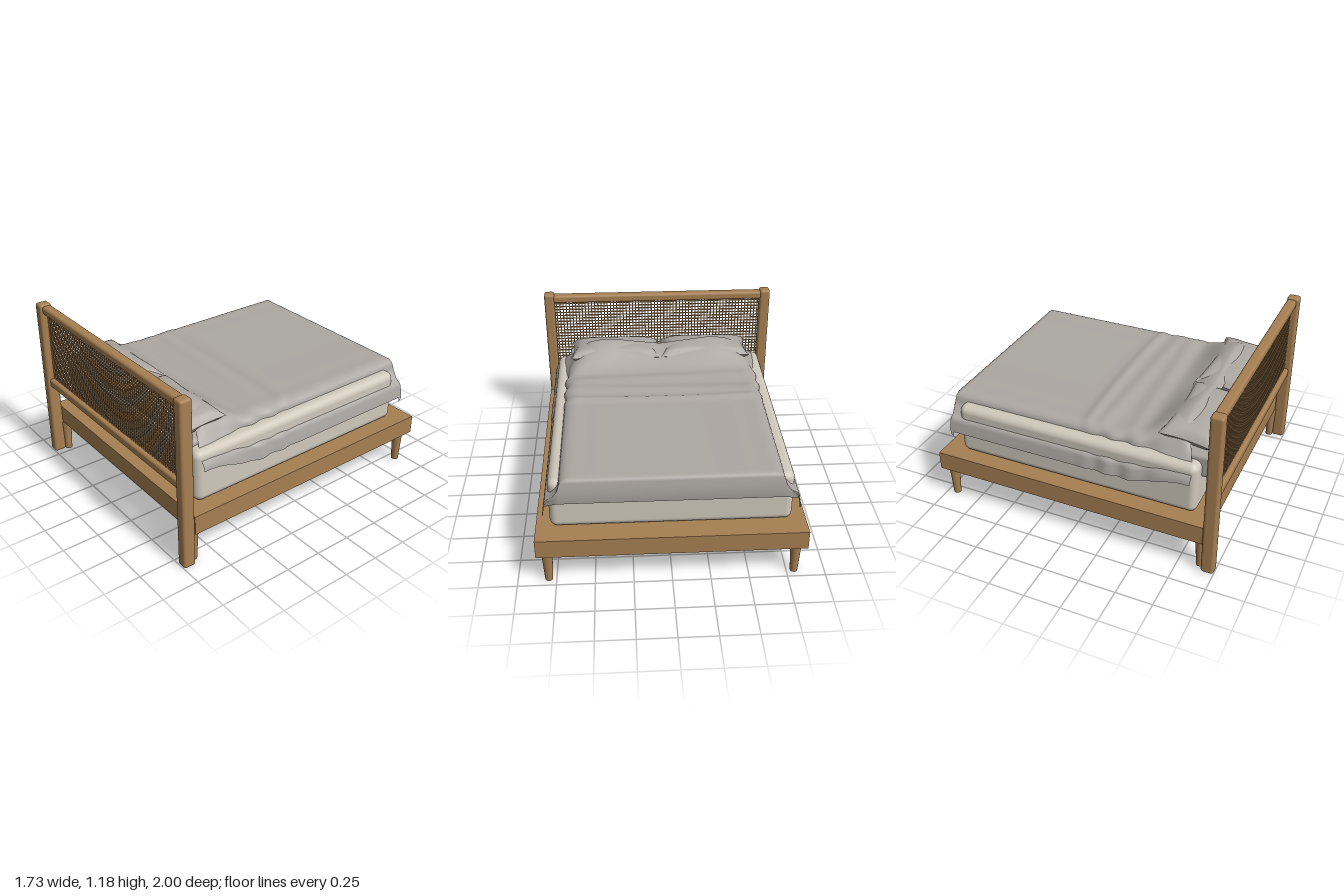
import * as THREE from 'three';
import { RoundedBoxGeometry } from 'three/addons/geometries/RoundedBoxGeometry.js';
import { mergeGeometries } from 'three/addons/utils/BufferGeometryUtils.js';

const mat = (name, color, side = THREE.FrontSide) => {
  const m = new THREE.MeshStandardMaterial({ color, side });
  m.name = name;
  return m;
};

// Smooth sheet: fn(u, v) -> [x, y, z], u and v in 0..1
function sheet(nu, nv, fn) {
  const g = new THREE.PlaneGeometry(1, 1, nu, nv);
  const p = g.attributes.position;
  for (let i = 0; i < p.count; i++) p.setXYZ(i, ...fn(p.getX(i) + 0.5, 0.5 - p.getY(i)));
  g.computeVertexNormals();
  return g;
}

const halfCurve = (pts) => new THREE.CatmullRomCurve3(pts.map(([x, y]) => new THREE.Vector3(x, y, 0)));
const smooth = THREE.MathUtils.smoothstep;
const lerp = THREE.MathUtils.lerp;
const bump = (z, c, w) => Math.exp(-(((z - c) / w) ** 2));

export function createModel() {
  const bed = new THREE.Group();
  bed.name = 'bed';
  const wood = mat('oak wood', 0xa67f52);
  const cream = mat('cream mattress', 0xcfc8bc);
  const linen = mat('grey linen', 0xaca7a1, THREE.DoubleSide);

  const add = (name, geo, material, x = 0, y = 0, z = 0, parent = bed) => {
    const m = new THREE.Mesh(geo, material);
    m.name = name;
    m.position.set(x, y, z);
    parent.add(m);
    return m;
  };
  // Box given by its minimum and maximum corners, optionally rounded
  const block = (name, material, [x0, y0, z0], [x1, y1, z1], r = 0, seg = 3) => {
    const size = [x1 - x0, y1 - y0, z1 - z0];
    const g = r ? new RoundedBoxGeometry(...size, seg, r) : new THREE.BoxGeometry(...size);
    return add(name, g, material, (x0 + x1) / 2, (y0 + y1) / 2, (z0 + z1) / 2);
  };

  // Platform, tapered legs
  block('platform', wood, [-0.867, 0.23, -1], [0.867, 0.36, 0.916]);
  for (const x of [-0.8, 0.8])
    for (const z of [-0.936, 0.89])
      add('leg', new THREE.CylinderGeometry(0.037, 0.025, 0.23, 24), wood, x, 0.115, z);

  // Headboard posts and rails
  for (const s of [-1, 1]) {
    const x = s * 0.829;
    block('headboardPost', wood, [x - 0.038, 0, 0.914], [x + 0.038, 1.18, 1], 0.018);
  }
  block('topRail', wood, [-0.8, 1.11, 0.916], [0.8, 1.17, 0.985], 0.018);
  block('lowerRail', wood, [-0.8, 0.545, 0.916], [0.8, 0.61, 0.985], 0.018);

  // Woven cane panel
  const strips = [];
  const x1 = 0.778, y0 = 0.6, y1 = 1.1;
  for (let i = 0; i <= 64; i++) {
    const g = new THREE.BoxGeometry(0.008, y1 - y0, 0.006);
    strips.push(g.translate(lerp(-x1, x1, i / 64), (y0 + y1) / 2, 0.953));
  }
  for (let j = 0; j <= 20; j++) {
    const g = new THREE.BoxGeometry(2 * x1 + 0.02, 0.008, 0.006);
    strips.push(g.translate(0, lerp(y0, y1 - 0.004, j / 20), 0.947));
  }
  add('canePanel', mergeGeometries(strips), wood);

  // Mattress and the lengthwise blanket that hangs over both ends
  block('mattress', cream, [-0.775, 0.36, -0.87], [0.775, 0.72, 0.83], 0.05, 5);
  block('underBlanket', linen, [-0.685, 0.59, -0.925], [0.685, 0.757, 0.89], 0.03, 4);

  // Pillows: two domed sheets each, with drawn-out corners
  const pillow = (sign) => sheet(24, 16, (u, v) => {
    const a = (u * 2 - 1) * sign, b = v * 2 - 1;
    const dome = Math.sqrt(Math.max(0, (1 - a ** 4) * (1 - b ** 4)));
    return [a * 0.33 * (1 - 0.06 * (1 - b * b)), sign * 0.07 * dome, b * 0.18 * (1 - 0.13 * (1 - a * a))];
  });
  for (const s of [-1, 1]) {
    const p = add('pillow', mergeGeometries([pillow(1), pillow(-1)]), linen, s * 0.338, 0.815, 0.705);
    p.rotation.x = 0.1;
  }

  // Duvet: half cross-sections over the mattress and over the pillows
  const flat = halfCurve([[0, 0.77], [0.3, 0.77], [0.55, 0.77], [0.65, 0.768], [0.69, 0.745],
    [0.71, 0.69], [0.755, 0.64], [0.788, 0.615], [0.8, 0.57], [0.808, 0.522]]);
  const raised = halfCurve([[0, 0.87], [0.2, 0.895], [0.38, 0.915], [0.52, 0.895], [0.61, 0.84],
    [0.68, 0.765], [0.735, 0.705], [0.775, 0.66], [0.795, 0.63], [0.803, 0.6]]);
  const duvet = sheet(96, 90, (u, v) => {
    const t = Math.abs(u * 2 - 1), side = Math.sign(u - 0.5);
    const fall = Math.max(0, 1 - v / 0.1);               // hanging part at the foot
    let z = lerp(-0.925, 0.725, Math.max(0, (v - 0.1) / 0.9));
    const w = smooth(z, 0.36, 0.68);
    const a = flat.getPoint(t), b = raised.getPoint(t);
    let x = lerp(a.x, b.x, w), y = lerp(a.y, b.y, w);
    // soft wrinkles below the pillows and a wavy hem
    const top = 1 - smooth(x, 0.6, 0.72);
    const sx = x * side;
    y += top * (0.016 * bump(z, 0.02 + 0.05 * sx * sx, 0.035) + 0.012 * bump(z, 0.16 + 0.04 * sx, 0.05)
      + 0.014 * bump(z, 0.32 - 0.05 * sx, 0.06));
    x += 0.008 * smooth(x, 0.62, 0.7) * Math.sin(z * 38 + side) * smooth(z, -0.05, 0.2) * (1 - w);
    // front lip curls down, its corners reach forward
    y -= 0.035 * smooth(z, 0.69, 0.725) * top;
    z += 0.07 * w * smooth(x, 0.58, 0.8);
    // foot drop and loose corners
    if (fall > 0) {
      y = Math.min(y, lerp(0.765, 0.595, fall)) - 0.035 * fall * smooth(x, 0.7, 0.8);
      z -= 0.012 * Math.sin(fall * 2.5) - 0.03 * fall * smooth(x, 0.7, 0.8);
    }
    return [x * side, y, z];
  });
  add('duvet', duvet, linen);

  return bed;
}
